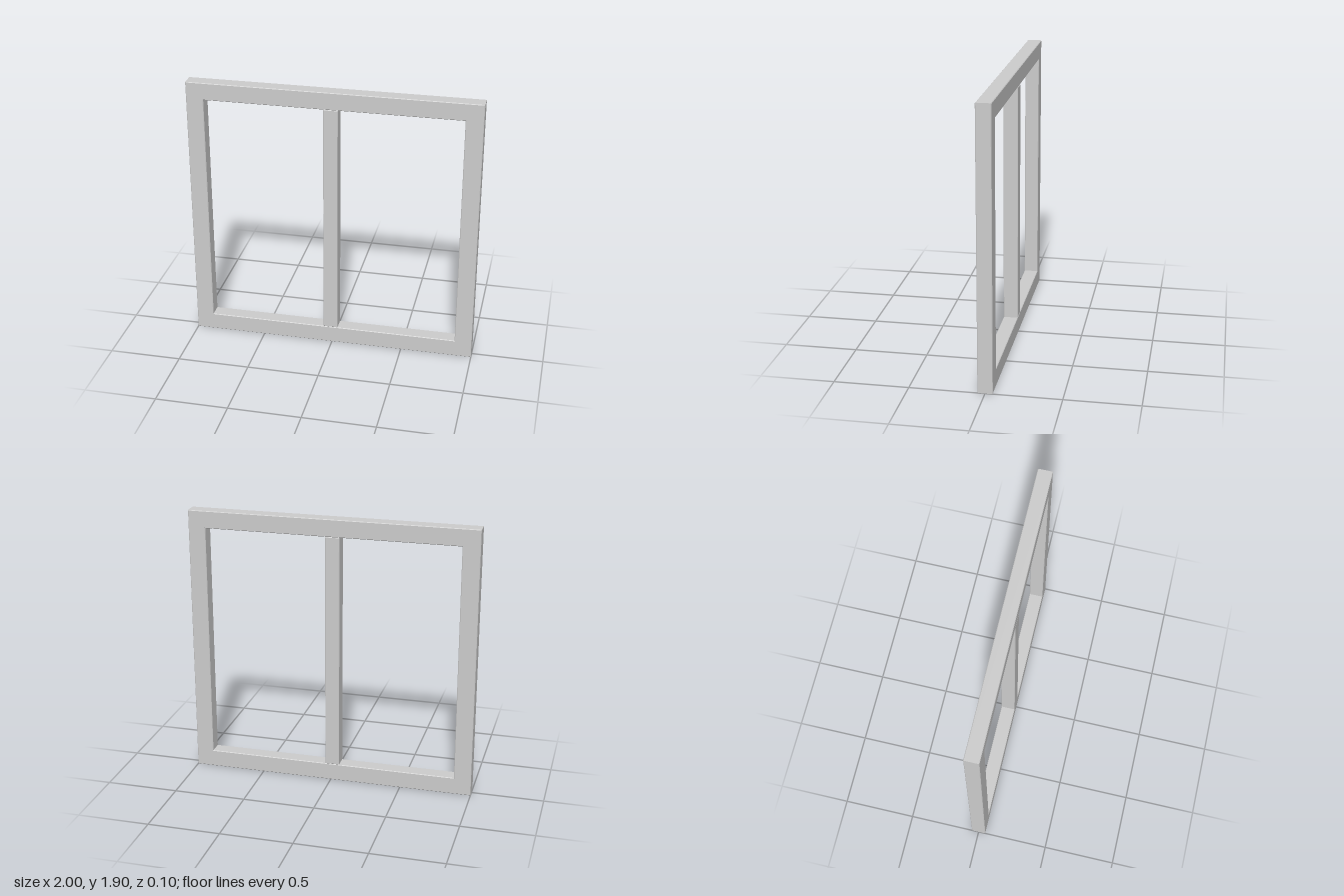
import * as THREE from 'three';

const DEPTH = 0.1;
const BEVEL = 0.004;

// Traces a rectangle onto a Shape or Path
function rect(path, x0, y0, x1, y1) {
  path.moveTo(x0, y0);
  path.lineTo(x1, y0);
  path.lineTo(x1, y1);
  path.lineTo(x0, y1);
  path.closePath();
  return path;
}

// Extrudes a shape to the frame depth, centred on z, with finely eased edges
function board(name, shape, material) {
  const geometry = new THREE.ExtrudeGeometry(shape, {
    depth: DEPTH - 2 * BEVEL,
    bevelEnabled: true,
    bevelThickness: BEVEL,
    bevelSize: BEVEL,
    bevelOffset: -BEVEL,
    bevelSegments: 1,
  });
  geometry.translate(0, 0, BEVEL - DEPTH / 2);
  const mesh = new THREE.Mesh(geometry, material);
  mesh.name = name;
  return mesh;
}

export function createModel() {
  const group = new THREE.Group();
  group.name = 'windowFrame';
  const material = new THREE.MeshStandardMaterial({ color: 0xcccccc });

  // Outer frame with one large opening
  const outline = rect(new THREE.Shape(), -1, 0, 1, 1.9);
  outline.holes.push(rect(new THREE.Path(), -0.88, 0.12, 0.88, 1.78));
  group.add(board('outerFrame', outline, material));

  // Upright bar, slightly off centre
  const bar = rect(new THREE.Shape(), -0.06, 0.12, 0.04, 1.78);
  group.add(board('mullion', bar, material));

  return group;
}
